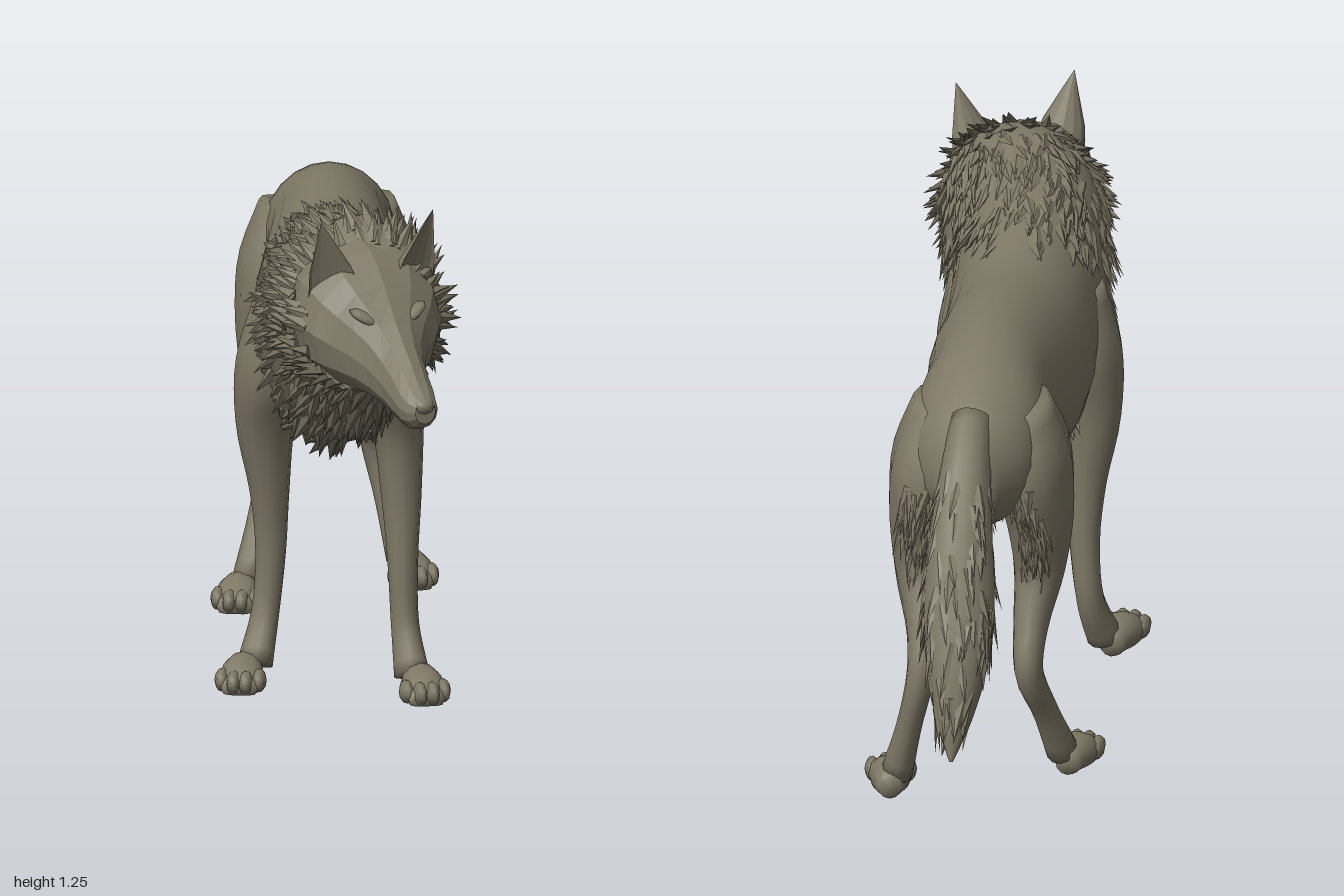
import * as THREE from 'three';
import { mergeGeometries } from 'three/addons/utils/BufferGeometryUtils.js';

const V3 = (x, y, z) => new THREE.Vector3(x, y, z);
let seed = 7;
const rnd = (a = 0, b = 1) => {
  seed = (seed * 16807) % 2147483647;
  return a + (b - a) * (seed / 2147483647);
};

// Smooth tube through sections [x, y, z, half width, half depth]; axis fixes the section plane
function skin(sections, axis) {
  const path = new THREE.CatmullRomCurve3(sections.map(s => V3(s[0], s[1], s[2])));
  const size = new THREE.CatmullRomCurve3(sections.map((s, i) => V3(s[3], s[4], i * 0.1)));
  const at = (t, a) => {
    t = Math.min(1, Math.max(0, t));
    const c = path.getPoint(t), r = size.getPoint(t);
    const T = axis || path.getTangent(t);
    const U = V3(1, 0, 0).addScaledVector(T, -T.x).normalize();
    const W = T.clone().cross(U);
    return c.addScaledVector(U, Math.max(r.x, 0.002) * Math.cos(a))
      .addScaledVector(W, Math.max(r.y, 0.002) * Math.sin(a));
  };
  return { at, path };
}

function loft({ at, path }, rings, sides, flat = false) {
  const pos = [], idx = [];
  const push = p => pos.push(p.x, Math.max(p.y, 0), p.z);
  for (let i = 0; i <= rings; i++)
    for (let j = 0; j < sides; j++) push(at(i / rings, j / sides * Math.PI * 2));
  const n = (rings + 1) * sides;
  push(path.getPoint(0));
  push(path.getPoint(1));
  for (let j = 0; j < sides; j++) {
    const k = (j + 1) % sides, e = rings * sides;
    for (let i = 0; i < rings; i++) {
      const a = i * sides + j, b = i * sides + k;
      idx.push(a, b, b + sides, a, b + sides, a + sides);
    }
    idx.push(n, k, j, n + 1, e + j, e + k);
  }
  let g = new THREE.BufferGeometry();
  g.setAttribute('position', new THREE.Float32BufferAttribute(pos, 3));
  g.setIndex(idx);
  if (flat) g = g.toNonIndexed();
  g.computeVertexNormals();
  return g;
}

// Pointed locks lying along a skin; pick() returns [t, angle]
function tufts({ at }, count, pick, length, width, lift) {
  const list = [];
  for (let i = 0; i < count; i++) {
    const [t, a] = pick();
    const p = at(t, a);
    const T = at(t + 0.01, a).sub(at(t - 0.01, a)).normalize();
    const N = at(t, a + 0.05).sub(at(t, a - 0.05)).cross(T).normalize();
    const L = length * rnd(0.7, 1.25);
    const dir = T.clone().addScaledVector(N, lift * rnd(0.4, 1.3));
    dir.addScaledVector(T.clone().cross(N), rnd(-0.25, 0.25)).normalize();
    const X = dir.clone().cross(N).normalize(), Z = X.clone().cross(dir);
    const g = new THREE.ConeGeometry(width * rnd(0.8, 1.2), L, 4, 1).toNonIndexed();
    g.scale(1, 1, 0.55).translate(0, L * 0.4, 0);
    p.addScaledVector(N, -0.006);
    g.applyMatrix4(new THREE.Matrix4().makeBasis(X, dir, Z).setPosition(p));
    g.computeVertexNormals();
    list.push(g);
  }
  return mergeGeometries(list);
}

export function createModel() {
  const model = new THREE.Group();
  model.name = 'wolf';
  const coat = new THREE.MeshStandardMaterial({ color: 0x7f7866 });
  coat.name = 'coat';
  const add = (name, geo, parent = model) => {
    const m = new THREE.Mesh(geo, coat);
    m.name = name;
    parent.add(m);
    return m;
  };

  // Body and neck: z, centre x, top, bottom, half width
  const body = skin([
    [0.72, 0.07, 1.13, 0.86, 0.13], [0.62, 0.055, 1.19, 0.79, 0.185],
    [0.5, 0.025, 1.195, 0.69, 0.195], [0.37, 0, 1.165, 0.6, 0.185],
    [0.2, -0.01, 1.115, 0.56, 0.18], [0.03, -0.01, 1.085, 0.56, 0.178],
    [-0.14, 0, 1.09, 0.6, 0.168], [-0.3, 0, 1.085, 0.67, 0.15],
    [-0.45, 0, 1.055, 0.68, 0.16], [-0.58, 0, 1.0, 0.68, 0.14], [-0.69, 0, 0.92, 0.74, 0.06],
  ].map(([z, x, top, bot, w]) => [x, (top + bot) / 2, z, w, (top - bot) / 2]), V3(0, 0, -1));
  add('body', loft(body, 40, 24));

  // Mane reaches furthest back along the spine; fringe hangs under the belly
  add('mane', tufts(body, 520, () => {
    const a = rnd(0, Math.PI * 2);
    return [rnd(0.04, 0.33 + 0.12 * Math.max(0, -Math.sin(a)) ** 2), a];
  }, 0.1, 0.02, 0.3));
  add('bellyFringe', tufts(body, 150, () => [rnd(0.36, 0.67), Math.PI / 2 + rnd(-0.75, 0.75)],
    0.085, 0.016, 0.3));

  // Tail
  const tail = skin([
    [0, 0.95, -0.58, 0.05, 0.07], [0, 0.87, -0.68, 0.06, 0.07], [0, 0.74, -0.765, 0.075, 0.08],
    [-0.005, 0.59, -0.835, 0.085, 0.085], [-0.01, 0.45, -0.9, 0.07, 0.075],
    [-0.01, 0.34, -0.955, 0.04, 0.042], [-0.01, 0.26, -0.995, 0.004, 0.004],
  ]);
  add('tail', loft(tail, 22, 14));
  add('tailFur', tufts(tail, 130, () => [rnd(0.2, 0.82), rnd(0, Math.PI * 2)], 0.09, 0.016, 0.2));

  // Legs: path from shoulder or hip to the ankle, then paw centre x, heel z, toe z, turn
  const legs = {
    frontLegLeft: [[
      [0.11, 0.93, 0.31, 0.07, 0.1], [0.125, 0.77, 0.31, 0.085, 0.125], [0.145, 0.61, 0.3, 0.06, 0.08],
      [0.152, 0.45, 0.31, 0.047, 0.055], [0.155, 0.3, 0.325, 0.036, 0.045],
      [0.16, 0.15, 0.337, 0.033, 0.043], [0.175, 0.04, 0.39, 0.042, 0.042]], 0.187, 0.35, 0.545],
    frontLegRight: [[
      [-0.12, 0.93, 0.28, 0.07, 0.1], [-0.15, 0.77, 0.27, 0.085, 0.125], [-0.165, 0.62, 0.25, 0.07, 0.08],
      [-0.155, 0.45, 0.235, 0.047, 0.05], [-0.152, 0.3, 0.225, 0.036, 0.038],
      [-0.165, 0.15, 0.23, 0.033, 0.04], [-0.19, 0.04, 0.28, 0.042, 0.042]], -0.21, 0.245, 0.44],
    hindLegLeft: [[
      [0.08, 0.95, -0.47, 0.075, 0.1], [0.11, 0.81, -0.47, 0.095, 0.165], [0.13, 0.66, -0.475, 0.08, 0.15],
      [0.13, 0.53, -0.515, 0.06, 0.1], [0.11, 0.42, -0.6, 0.042, 0.06], [0.11, 0.33, -0.65, 0.034, 0.045],
      [0.14, 0.19, -0.635, 0.03, 0.034], [0.175, 0.05, -0.595, 0.038, 0.042]], 0.185, -0.645, -0.465],
    hindLegRight: [[
      [-0.09, 0.95, -0.45, 0.075, 0.1], [-0.12, 0.81, -0.44, 0.095, 0.16], [-0.14, 0.66, -0.43, 0.08, 0.135],
      [-0.14, 0.52, -0.445, 0.06, 0.09], [-0.13, 0.41, -0.51, 0.042, 0.055], [-0.13, 0.31, -0.55, 0.034, 0.045],
      [-0.16, 0.18, -0.485, 0.03, 0.034], [-0.19, 0.05, -0.415, 0.038, 0.042]], -0.205, -0.45, -0.27],
  };
  for (const [name, [path, x, heel, toe]] of Object.entries(legs)) {
    const leg = new THREE.Group();
    leg.name = name;
    model.add(leg);
    const limb = skin(path);
    add('limb', loft(limb, 24, 12), leg);
    if (name.startsWith('hind'))
      add('thighFur', tufts(limb, 45, () => [rnd(0.15, 0.42), -Math.PI / 2 + rnd(-0.5, 0.5)],
        0.08, 0.014, 0.25), leg);

    // Paw with four toes
    const len = toe - heel, paw = new THREE.Group();
    paw.name = 'paw';
    paw.position.set(x, 0, heel);
    paw.rotation.y = Math.sign(x) * 0.12;
    leg.add(paw);
    add('pad', loft(skin([
      [0, 0.03, 0.004, 0.028, 0.03], [0, 0.03, len * 0.3, 0.046, 0.045],
      [0, 0.025, len * 0.6, 0.053, 0.043], [0, 0.015, len * 0.88, 0.042, 0.025],
    ], V3(0, 0, 1)), 8, 12), paw);
    for (let i = 0; i < 4; i++) {
      const side = i - 1.5, inner = Math.abs(side) < 1;
      const g = new THREE.SphereGeometry(1, 8, 6);
      g.scale(0.018, 0.027, 0.04).translate(side * 0.029, 0.027, len - (inner ? 0.04 : 0.062));
      add('toe', g, paw);
    }
  }

  // Head, turned toward its left
  const head = new THREE.Group();
  head.name = 'head';
  head.position.set(0.07, 0, 0.7);
  head.rotation.y = 0.4;
  model.add(head);
  const skull = skin([
    [0, 1.0, -0.17, 0.13, 0.14], [0, 1.0, -0.08, 0.172, 0.175], [0, 0.995, 0, 0.178, 0.165],
    [0, 0.975, 0.06, 0.155, 0.14], [0, 0.945, 0.11, 0.105, 0.115], [0, 0.91, 0.16, 0.067, 0.095],
    [0, 0.87, 0.23, 0.052, 0.075], [0, 0.845, 0.285, 0.046, 0.05], [0, 0.845, 0.315, 0.026, 0.028],
  ], V3(0, 0, 1));
  add('skull', loft(skull, 12, 12, true), head);
  add('nose', new THREE.SphereGeometry(1, 8, 6).scale(0.027, 0.02, 0.02).translate(0, 0.858, 0.305), head);

  // Cheek ruff swept backward from the face
  const ruff = skin([
    [0, 0.97, 0.06, 0.15, 0.13], [0, 0.98, 0, 0.178, 0.16], [0, 0.99, -0.12, 0.185, 0.18],
  ], V3(0, 0, -1));
  add('cheekRuff', tufts(ruff, 110, () => {
    const a = rnd(-0.35, Math.PI + 0.35);
    return [rnd(0.4, 1), a];
  }, 0.085, 0.018, 0.3), head);

  for (const s of [-1, 1]) {
    // Ear: cone with its front pushed in to a hollow
    const ear = new THREE.ConeGeometry(0.062, 0.19, 12, 3);
    const p = ear.attributes.position;
    for (let i = 0; i < p.count; i++) {
      const z = p.getZ(i);
      p.setZ(i, z > 0 ? z * -0.25 : z * 0.9);
      p.setX(i, p.getX(i) * (1 + 0.9 * (0.25 - (p.getY(i) / 0.19) ** 2)));
    }
    const flat = ear.toNonIndexed();
    flat.computeVertexNormals();
    const m = add(s > 0 ? 'earLeft' : 'earRight', flat, head);
    m.position.set(s * 0.122, 1.162, 0.03);
    m.rotation.set(0.18, s * 0.3, -s * 0.24);

    // Brow ridge over the eye
    const brow = add('brow', new THREE.SphereGeometry(1, 8, 6).scale(0.042, 0.012, 0.02), head);
    brow.position.set(s * 0.062, 1.03, 0.108);
    brow.rotation.set(0.3, s * 0.5, s * 0.35);
  }
  return model;
}
